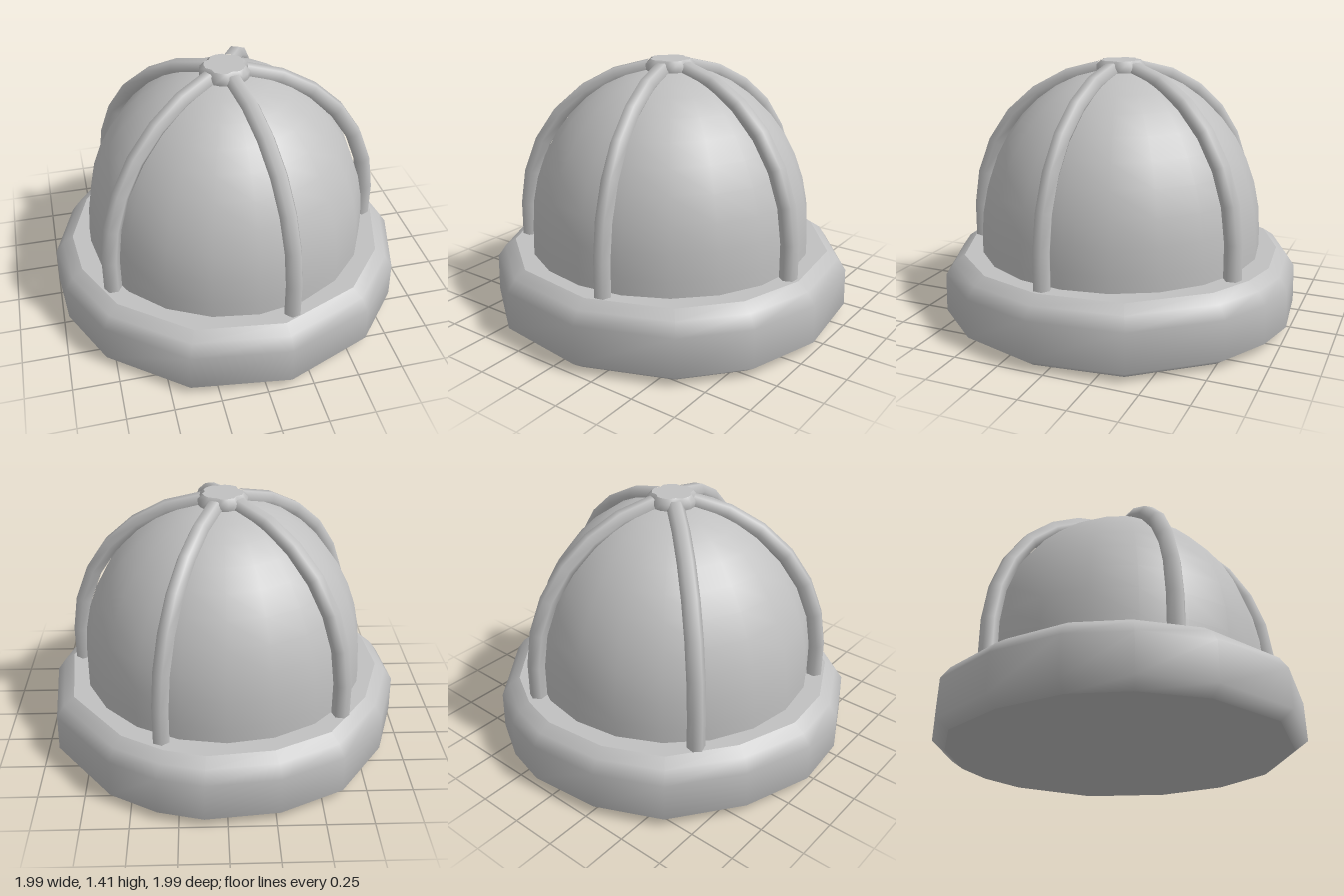
import * as THREE from 'three';

const grey = new THREE.MeshStandardMaterial({ color: 0xc0c0c0 });
grey.name = 'grey';

// Hand-cut outline of the base ring, as [x, z]
const OUTLINE = [
  [0.12, -1], [0.36, -0.94], [0.61, -0.8], [0.93, -0.4], [0.99, 0.1], [0.87, 0.5],
  [0.61, 0.8], [0.13, 0.99], [-0.4, 0.92], [-0.8, 0.61], [-0.97, 0.26], [-1, -0.07],
  [-0.87, -0.45], [-0.61, -0.8], [-0.27, -0.96],
];

// Stacks scaled copies of an outline, given a profile of [scale, y]
function loft(outline, profile) {
  const n = outline.length;
  const positions = [];
  const index = [];
  for (const [s, y] of profile) {
    for (const [x, z] of outline) positions.push(x * s, y, z * s);
  }
  for (let j = 0; j < profile.length - 1; j++) {
    for (let i = 0; i < n; i++) {
      const a = j * n + i;
      const b = j * n + ((i + 1) % n);
      index.push(a, a + n, b, b, a + n, b + n);
    }
  }
  const geometry = new THREE.BufferGeometry();
  geometry.setAttribute('position', new THREE.Float32BufferAttribute(positions, 3));
  geometry.setIndex(index);
  geometry.computeVertexNormals();
  return geometry;
}

export function createModel() {
  const model = new THREE.Group();
  model.name = 'cagedDome';
  const add = (name, geometry, parent = model) => {
    const mesh = new THREE.Mesh(geometry, grey);
    mesh.name = name;
    parent.add(mesh);
    return mesh;
  };

  // Base: bevelled rim, flat collar and flat underside
  add('baseRim', loft(OUTLINE, [[0.93, 0], [1, 0.05], [0.995, 0.26], [0.95, 0.325], [0.89, 0.365]]));
  add('baseCollar', loft(OUTLINE, [[0.89, 0.365], [0.7, 0.365]]));
  const underside = new THREE.Shape(OUTLINE.map(([x, z]) => new THREE.Vector2(x * 0.93, z * 0.93)));
  add('baseUnderside', new THREE.ShapeGeometry(underside).rotateX(Math.PI / 2));

  // Dome: a slightly stretched half sphere on a short skirt
  const profile = [new THREE.Vector2(0.79, 0.34)];
  for (let i = 0; i <= 10; i++) {
    const a = (i / 10) * Math.PI / 2;
    profile.push(new THREE.Vector2(0.79 * Math.cos(a), 0.45 + 0.92 * Math.sin(a)));
  }
  add('dome', new THREE.LatheGeometry(profile, 20));

  // Five curved ribs around the dome
  const path = new THREE.CatmullRomCurve3([
    [0.825, 0.36], [0.825, 0.54], [0.78, 0.8], [0.66, 1.04], [0.49, 1.21], [0.29, 1.32], [0.11, 1.365],
  ].map(([r, y]) => new THREE.Vector3(r, y, 0)));
  const ribGeometry = new THREE.TubeGeometry(path, 7, 0.048, 6);
  const ribs = new THREE.Group();
  ribs.name = 'ribs';
  for (let i = 0; i < 5; i++) {
    const rib = add('rib' + (i + 1), ribGeometry, ribs);
    rib.rotation.y = -(6 + 72 * i) * Math.PI / 180;
  }
  model.add(ribs);

  // Hub: notched disc that joins the ribs
  const star = [];
  for (let i = 0; i < 20; i++) {
    const degrees = 6 + 18 * i;
    const r = i % 4 === 0 ? 0.115 : 0.135;
    const a = degrees * Math.PI / 180;
    star.push([r * Math.cos(a), r * Math.sin(a)]);
  }
  add('hubSide', loft(star, [[0.85, 1.32], [1, 1.35], [1, 1.39], [0.82, 1.415]]));
  const cap = new THREE.Shape(star.map(([x, z]) => new THREE.Vector2(x * 0.82, -z * 0.82)));
  add('hubTop', new THREE.ShapeGeometry(cap).rotateX(-Math.PI / 2).translate(0, 1.415, 0));

  return model;
}
